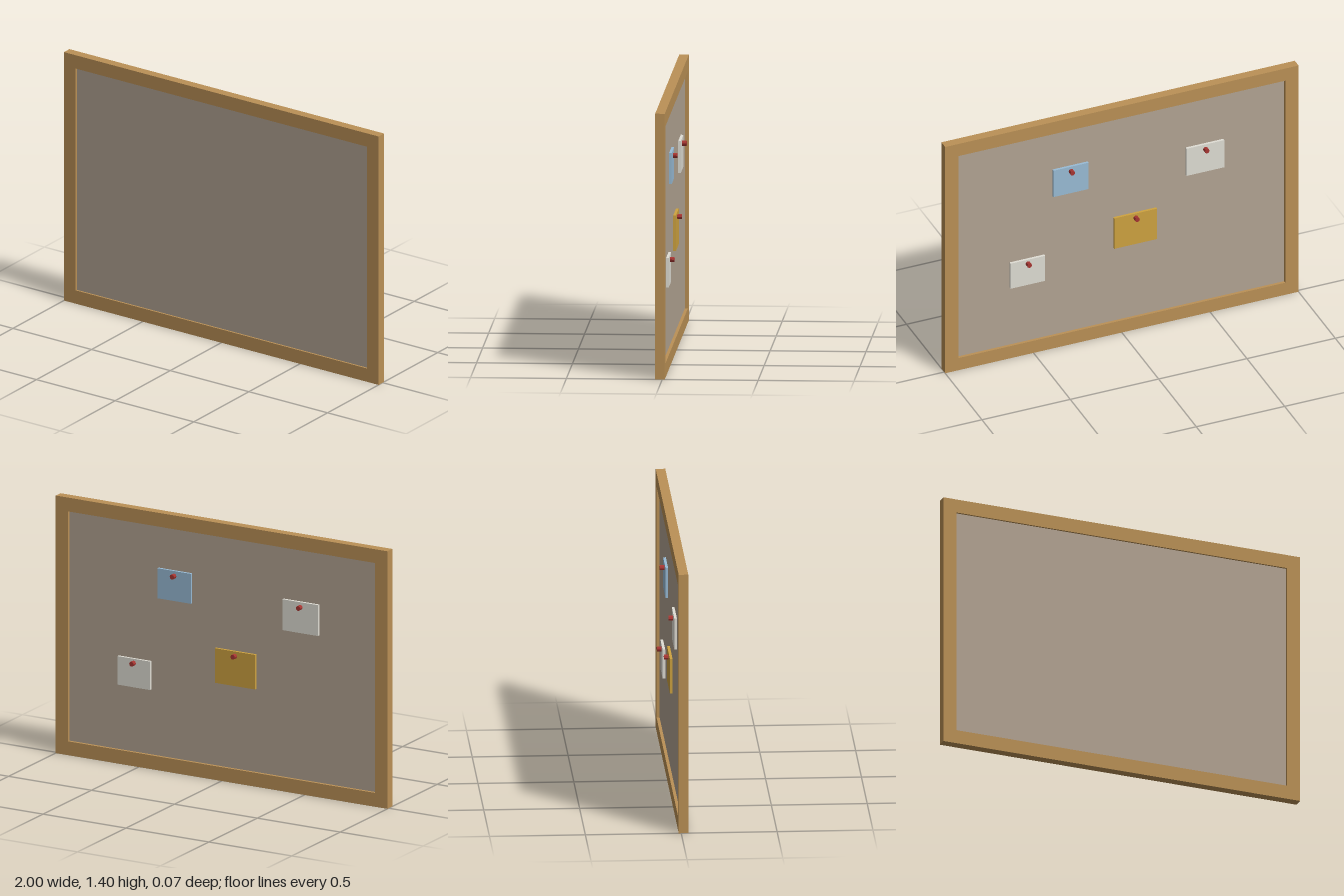
import * as THREE from 'three';

function material(name, color) {
  const m = new THREE.MeshStandardMaterial({ color });
  m.name = name;
  return m;
}

export function createModel() {
  const wood = material('frame wood', 0xbb9156);
  const felt = material('board felt', 0xb3a493);
  const white = material('white paper', 0xe0ded5);
  const yellow = material('yellow paper', 0xcfa340);
  const blue = material('blue paper', 0x99bcd6);
  const red = material('pin red', 0xa83632);

  const group = new THREE.Group();
  group.name = 'pinBoard';
  const add = (name, geometry, mat, x, y, z) => {
    const mesh = new THREE.Mesh(geometry, mat);
    mesh.name = name;
    mesh.position.set(x, y, z);
    group.add(mesh);
  };

  const W = 2, H = 1.4, border = 0.075;
  const zBack = -0.013, depth = 0.05;

  // Wooden frame with a rectangular opening
  const outline = new THREE.Shape();
  outline.moveTo(-W / 2, 0).lineTo(W / 2, 0).lineTo(W / 2, H).lineTo(-W / 2, H).closePath();
  const opening = new THREE.Path();
  const ix = W / 2 - border;
  opening.moveTo(-ix, border).lineTo(-ix, H - border).lineTo(ix, H - border).lineTo(ix, border).closePath();
  outline.holes.push(opening);
  add('frame', new THREE.ExtrudeGeometry(outline, { depth, bevelEnabled: false }), wood, 0, 0, zBack);

  // Board panel, recessed on both sides
  const panelBack = 0.003, panelFront = 0.027;
  add('boardPanel', new THREE.BoxGeometry(2 * ix, H - 2 * border, panelFront - panelBack), felt,
    0, H / 2, (panelBack + panelFront) / 2);

  // Notes pinned to the back face: [name, material, x, top, width, height, pinY]
  const notes = [
    ['blueNote', blue, 0.287, 1.097, 0.2, 0.163, 1.07],
    ['upperWhiteNote', white, -0.474, 1.043, 0.213, 0.168, 1.015],
    ['yellowNote', yellow, -0.079, 0.715, 0.242, 0.188, 0.69],
    ['lowerWhiteNote', white, 0.531, 0.583, 0.196, 0.155, 0.56],
  ];
  const paper = 0.014, pinEnd = -0.035;
  const pinStart = panelBack - paper;
  const pin = new THREE.CylinderGeometry(0.0135, 0.0135, pinStart - pinEnd, 8).toNonIndexed();
  pin.rotateX(Math.PI / 2);
  pin.computeVertexNormals();
  for (const [name, mat, x, top, w, h, pinY] of notes) {
    add(name, new THREE.BoxGeometry(w, h, paper), mat, x, top - h / 2, panelBack - paper / 2);
    add(name + 'Pin', pin, red, x, pinY, (pinStart + pinEnd) / 2);
  }

  return group;
}
